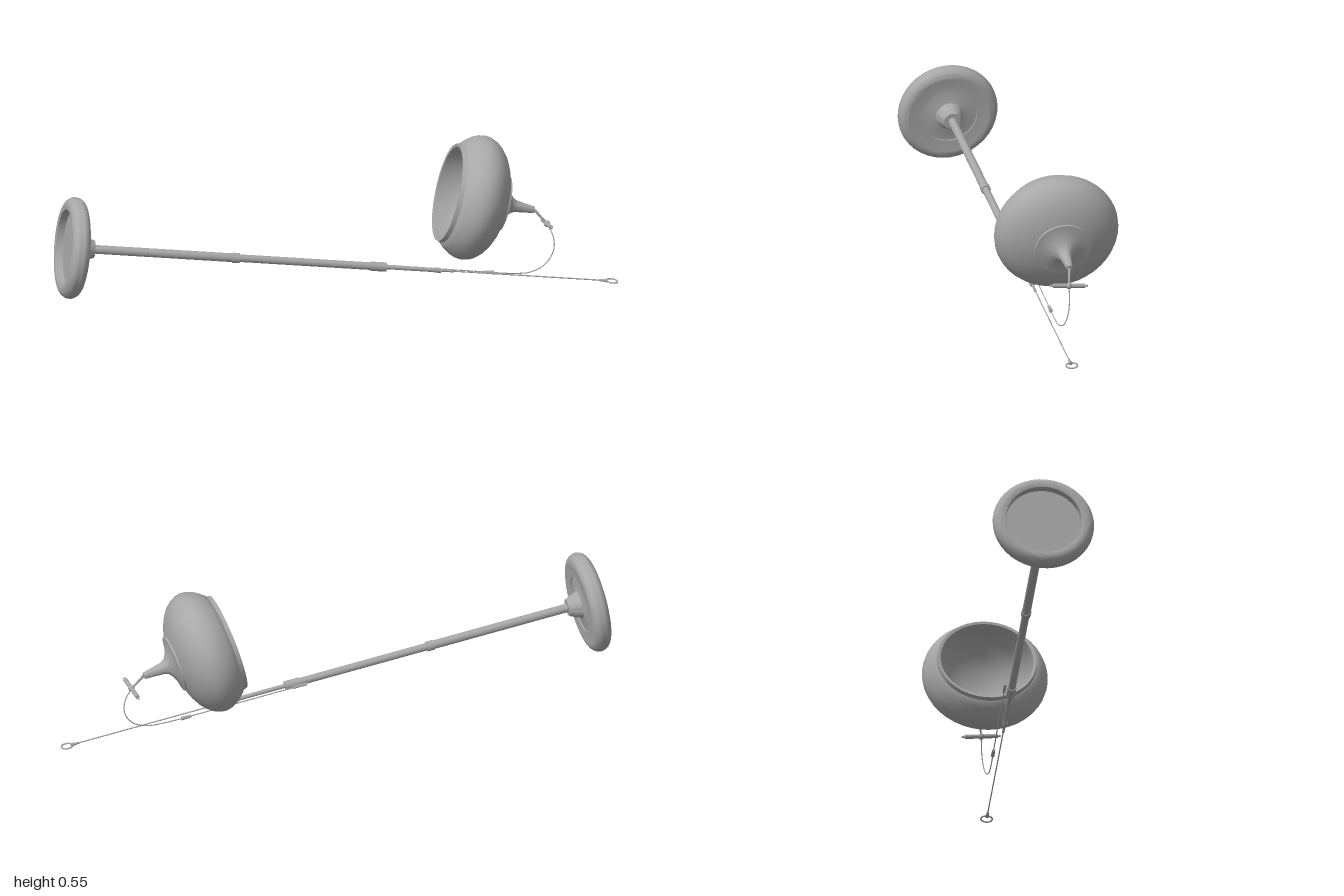
import * as THREE from 'three';
import { toCreasedNormals } from 'three/addons/utils/BufferGeometryUtils.js';

const UP = new THREE.Vector3(0, 1, 0);
const V = (x, y, z) => new THREE.Vector3(x, y, z);

export function createModel() {
  const model = new THREE.Group();
  const grey = new THREE.MeshStandardMaterial({ color: 0xa8a8a8 });
  grey.name = 'grey metal';
  grey.side = THREE.DoubleSide;

  const add = (name, geo, parent = model) => {
    const mesh = new THREE.Mesh(geo, grey);
    mesh.name = name;
    parent.add(mesh);
    return mesh;
  };
  // Group whose y axis runs along dir
  const axisGroup = (name, pos, dir) => {
    const g = new THREE.Group();
    g.name = name;
    g.position.copy(pos);
    g.quaternion.setFromUnitVectors(UP, dir.clone().normalize());
    model.add(g);
    return g;
  };
  // Profile points are [along axis, radius]
  const turned = (name, pts, parent, sides = 40) => add(name, toCreasedNormals(
    new THREE.LatheGeometry(pts.map(([t, r]) => new THREE.Vector2(r, t)), sides), 0.55), parent);
  const rodBetween = (name, a, b, r1, r2 = r1, sides = 10) => {
    const g = axisGroup(name, a.clone().add(b).multiplyScalar(0.5), b.clone().sub(a));
    return add(name, new THREE.CylinderGeometry(r2, r1, a.distanceTo(b), sides), g);
  };
  const ball = (name, pos, r) => {
    add(name, new THREE.SphereGeometry(r, 16, 12)).position.copy(pos);
  };
  const cord = (name, pts, r = 0.002) => add(name,
    new THREE.TubeGeometry(new THREE.CatmullRomCurve3(pts), 80, r, 6));

  // Point on the main shaft line for a given x
  const shaft = x => V(x, 0.25 - 0.13 * (x + 0.88), -0.041 + 0.07 * (x + 0.88));
  const shaftDir = shaft(1).sub(shaft(0));

  // Cupped end disc with rounded rim and hub
  const disc = axisGroup('endDisc', shaft(-0.953), shaftDir);
  const rim = [];
  for (let i = 0; i <= 16; i++) {
    const a = -Math.PI * 0.62 + (i / 16) * Math.PI * 1.22;
    rim.push([0.033 * Math.sin(a), 0.147 + 0.033 * Math.cos(a)]);
  }
  turned('discBody', [[-0.004, 0], [-0.004, 0.134], ...rim,
    [0.031, 0.1], [0.027, 0.099], [0.029, 0.07], [0.034, 0.05], [0.046, 0.043],
    [0.06, 0.04], [0.068, 0.034], [0.078, 0.031], [0.08, 0]], disc);

  // Telescoping shaft: [from x, to x, radius]
  [[-0.89, -0.365, 0.0155], [-0.38, -0.355, 0.018], [-0.36, 0.17, 0.0135],
    [0.115, 0.17, 0.0165], [0.17, 0.36, 0.0075], [0.34, 0.365, 0.009], [0.36, 0.41, 0.0045],
  ].forEach(([a, b, r], i) => rodBetween('shaftSection' + (i + 1), shaft(a), shaft(b), r));

  // Pull line with end ring
  rodBetween('pullLine', shaft(0.4), shaft(0.96), 0.0022, 0.0022, 6);
  rodBetween('pullLineTip', shaft(0.93), shaft(0.962), 0.003, 0.007);
  const ring = add('endRing', new THREE.TorusGeometry(0.02, 0.0028, 8, 28));
  ring.position.copy(shaft(0.977));
  ring.quaternion.setFromUnitVectors(V(0, 0, 1), V(0.13, 1, 0.06).normalize());

  // Hollow bell with lipped mouth and tapered neck
  const bell = axisGroup('bell', V(0.494, 0.333, -0.002), V(1, -0.275, 0.08));
  turned('bellBody', [[0.095, 0], [0.09, 0.04], [0.075, 0.085], [0.045, 0.13], [0, 0.158],
    [-0.05, 0.166], [-0.092, 0.165], [-0.094, 0.175], [-0.078, 0.178], [-0.076, 0.184],
    [-0.06, 0.198], [-0.04, 0.212], [-0.02, 0.22], [0, 0.223], [0.02, 0.22], [0.04, 0.211],
    [0.06, 0.195], [0.078, 0.173], [0.093, 0.145], [0.103, 0.119], [0.108, 0.102],
    [0.114, 0.101], [0.115, 0.092], [0.122, 0.066], [0.132, 0.042], [0.143, 0.028],
    [0.16, 0.021], [0.195, 0.016], [0.228, 0.012], [0.231, 0]], bell);

  // Cord from the bell through the handle, looping back along the shaft
  const tip = V(0.715, 0.272, 0.017), grip = V(0.755, 0.223, 0.031);
  const clasp = V(0.55, 0.061, 0.037), anchor = V(0.1, 0.122, 0.002);
  rodBetween('neckLink', tip, grip, 0.005, 0.003, 8);
  cord('loopCord', [grip, V(0.777, 0.175, 0.036), V(0.777, 0.125, 0.041),
    V(0.745, 0.077, 0.045), V(0.69, 0.053, 0.047), V(0.62, 0.053, 0.043), clasp]);
  rodBetween('returnCord', clasp, anchor, 0.002, 0.002, 6);
  const along = clasp.clone().sub(anchor).normalize();
  rodBetween('claspSleeve', clasp.clone().addScaledVector(along, -0.025),
    clasp.clone().addScaledVector(along, 0.012), 0.005, 0.007);
  rodBetween('anchorSleeve', anchor, anchor.clone().addScaledVector(along, 0.05), 0.005);

  // Cross handle with centre ball and end beads
  const barDir = V(0, 0.11, 1).normalize();
  const onBar = d => grip.clone().addScaledVector(barDir, d);
  rodBetween('handleBar', onBar(-0.059), onBar(0.059), 0.0075, 0.0075, 12);
  rodBetween('handlePin', onBar(-0.066), onBar(0.066), 0.003);
  ball('handleBall', grip, 0.0115);
  for (const s of [-1, 1]) ball('handleBead', onBar(s * 0.066), 0.0045);

  return model;
}
